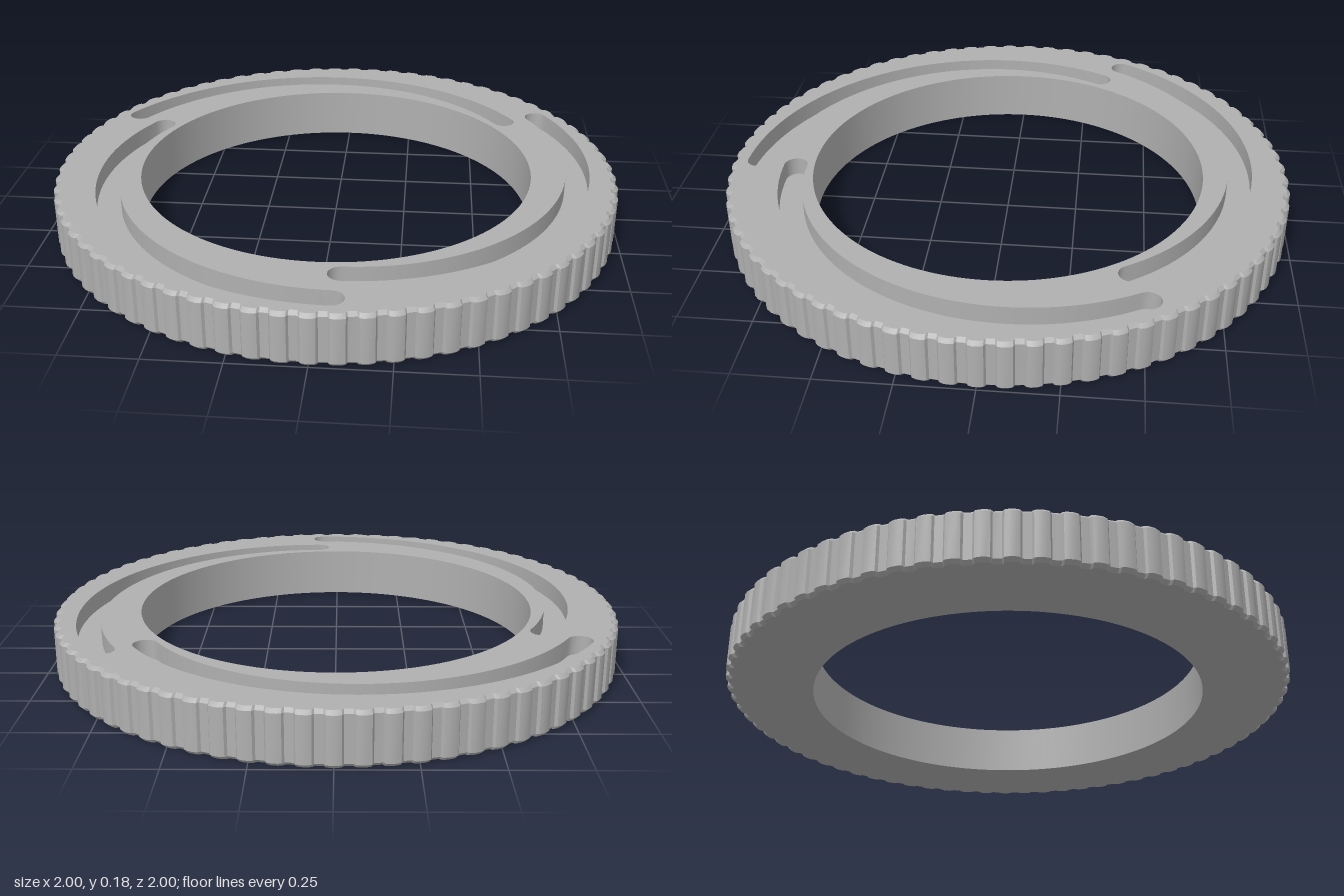
import * as THREE from 'three';
import { toCreasedNormals } from 'three/addons/utils/BufferGeometryUtils.js';

const HEIGHT = 0.18, INNER = 0.698, TEETH = 72, SLOT_FLOOR = 0.115, SLOT_HALF = 0.042;
const polar = (r, a) => new THREE.Vector2(r * Math.cos(a), r * Math.sin(a));

function circle(radius, count) {
  return Array.from({ length: count }, (_, i) => polar(radius, (i / count) * Math.PI * 2));
}

// Knurled outline: rounded ridges with narrow grooves between them
function knurl() {
  const profile = [[-0.34, 0.987], [-0.27, 0.996], [-0.12, 1], [0.12, 1], [0.27, 0.996], [0.34, 0.987]];
  const points = [];
  for (let i = 0; i < TEETH; i++) {
    for (const [f, r] of profile) points.push(polar(r, ((i + f) / TEETH) * Math.PI * 2));
  }
  return points;
}

// Round-ended slot that spirals outward as the angle grows
function slotOutline(turn) {
  const start = 0.625, sweep = 2.058, r0 = 0.766, r1 = 0.904, steps = 48, caps = 10;
  const at = (t) => {
    const a = start + sweep * t, r = r0 + (r1 - r0) * t;
    return { centre: polar(r, a + turn), normal: a + turn - Math.atan2((r1 - r0) / sweep, r) };
  };
  const points = [];
  const add = (t, swing) => {
    const { centre, normal } = at(t);
    points.push(centre.add(polar(SLOT_HALF, normal + swing)));
  };
  for (let i = 0; i <= steps; i++) add(i / steps, 0);
  for (let i = 1; i < caps; i++) add(1, (i / caps) * Math.PI);
  for (let i = steps; i >= 0; i--) add(i / steps, Math.PI);
  for (let i = 1; i < caps; i++) add(0, Math.PI + (i / caps) * Math.PI);
  return points;
}

// Wall through stacked levels [y, scale]; a reversed outline faces inward
function wall(points, levels) {
  const positions = [], index = [], n = points.length;
  for (const [y, s] of levels) {
    for (const p of points) positions.push(p.x * s, y, -p.y * s);
  }
  for (let l = 0; l < levels.length - 1; l++) {
    for (let i = 0; i < n; i++) {
      const j = (i + 1) % n, a = l * n + i, b = l * n + j;
      index.push(a, b, b + n, a, b + n, a + n);
    }
  }
  const geometry = new THREE.BufferGeometry();
  geometry.setAttribute('position', new THREE.Float32BufferAttribute(positions, 3));
  geometry.setIndex(index);
  return toCreasedNormals(geometry, 0.4);
}

// Flat horizontal face with holes
function face(outline, holes, y, down = false) {
  const shape = new THREE.Shape(outline);
  shape.holes = holes.map((h) => new THREE.Path(h));
  const geometry = new THREE.ShapeGeometry(shape);
  if (down) {
    const ids = geometry.index.array;
    for (let i = 0; i < ids.length; i += 3) [ids[i], ids[i + 1]] = [ids[i + 1], ids[i]];
  }
  geometry.rotateX(-Math.PI / 2).translate(0, y, 0);
  geometry.computeVertexNormals();
  return geometry;
}

export function createModel() {
  const model = new THREE.Group();
  const grey = new THREE.MeshStandardMaterial({ color: 0xb0b0b0 });
  grey.name = 'grey';
  const add = (name, geometry) => {
    const mesh = new THREE.Mesh(geometry, grey);
    mesh.name = name;
    model.add(mesh);
  };

  const rim = knurl(), bore = circle(INNER, 144), bevel = 0.012;
  const edge = rim.map((p) => p.clone().multiplyScalar(1 - bevel));
  const slots = [0, 1, 2].map((i) => slotOutline((i * Math.PI * 2) / 3));

  // Ring body
  add('knurledRim', wall(rim, [[0, 1 - bevel], [bevel, 1], [HEIGHT - bevel, 1], [HEIGHT, 1 - bevel]]));
  add('bore', wall([...bore].reverse(), [[0, 1], [HEIGHT, 1]]));
  add('topFace', face(edge, [bore, ...slots], HEIGHT));
  add('bottomFace', face(edge, [bore], 0, true));

  // Three blind spiral slots
  for (const slot of slots) {
    add('slotWall', wall([...slot].reverse(), [[SLOT_FLOOR, 1], [HEIGHT, 1]]));
    add('slotFloor', face(slot, [], SLOT_FLOOR));
  }
  return model;
}
